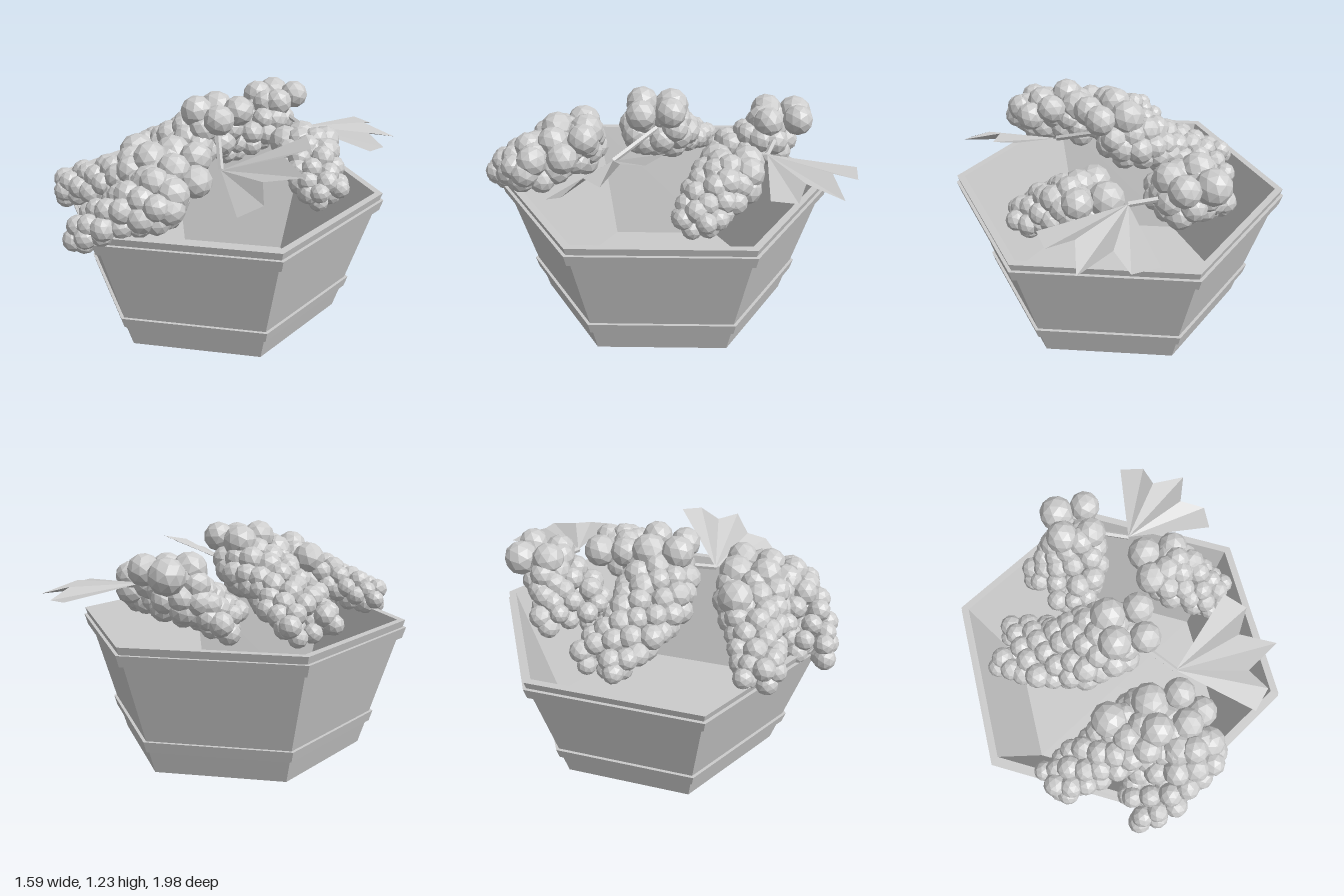
import * as THREE from 'three';

const grey = new THREE.MeshStandardMaterial({ color: 0xcccccc, flatShading: true });
const thin = new THREE.MeshStandardMaterial({ color: 0xcccccc, flatShading: true, side: THREE.DoubleSide });
const grapeGeometry = new THREE.IcosahedronGeometry(1, 1);

let seed = 7;
const rand = () => (seed = (seed * 16807) % 2147483647) / 2147483647;

// Hexagonal tub: [half width across flats, height] turned in six steps
function makeTub() {
  const profile = [
    [0, 0.03], [0.57, 0.03], [0.56, 0], [0.59, 0],
    [0.625, 0.13], [0.64, 0.13], [0.656, 0.19], [0.64, 0.19],
    [0.755, 0.62], [0.777, 0.62], [0.793, 0.68], [0.776, 0.68],
    [0.787, 0.72], [0.75, 0.72], [0.553, 0.05], [0, 0.05],
  ].map(([x, y]) => new THREE.Vector2(x / Math.cos(Math.PI / 6), y));
  const tub = new THREE.Mesh(new THREE.LatheGeometry(profile, 6).toNonIndexed(), grey);
  tub.name = 'tub';
  tub.position.z = 0.01;
  return tub;
}

function addGrape(group, position, radius) {
  const grape = new THREE.Mesh(grapeGeometry, grey);
  grape.name = 'grape';
  grape.position.copy(position);
  grape.scale.setScalar(radius);
  grape.rotation.set(rand() * 6, rand() * 6, rand() * 6);
  group.add(grape);
}

// Bunch: grapes spiral round a drooping path and shrink towards the tail,
// with a ring of large grapes lifted above the head
function makeBunch(name, count, head, middle, tail, headWidth, tailWidth, lift) {
  const group = new THREE.Group();
  group.name = name;
  const { lerp } = THREE.MathUtils;
  const curve = new THREE.CatmullRomCurve3([head, middle, tail]);
  for (let i = 0; i < count; i++) {
    const t = i / (count - 1);
    const tangent = curve.getTangent(t);
    const side = new THREE.Vector3(-tangent.z, 0, tangent.x).normalize();
    const up = side.clone().cross(tangent).normalize();
    const angle = i * 2.4 + rand() * 0.3;
    const spread = (0.88 + 0.2 * rand()) * Math.min(1, 0.55 + 3 * t);
    const p = curve.getPoint(t)
      .addScaledVector(side, Math.cos(angle) * lerp(headWidth, tailWidth, t) * spread)
      .addScaledVector(up, Math.sin(angle) * lerp(0.11, 0.05, t) * spread);
    addGrape(group, p, lerp(0.076, 0.056, t) * (0.92 + 0.16 * rand()));
  }
  for (let i = 0; i < 4; i++) {
    const angle = 0.8 + i * Math.PI / 2;
    const offset = new THREE.Vector3(Math.cos(angle) * 0.11, lift + 0.015 * (i % 2), Math.sin(angle) * 0.11);
    addGrape(group, offset.add(head), 0.082 + 0.006 * (i % 3));
  }
  return group;
}

// Leaf: a pleated fan pointing along +x, longest in the middle
function makeLeaf(name, base, pitch, roll, heading) {
  const lengths = [0.53, 0.37, 0.48, 0.46];
  const angles = [0, 0.26, 0.46, 0.74];
  const folds = [0, 0.035, 0, 0];
  const corners = [];
  for (let i = -3; i < 3; i++) {
    corners.push(0, 0, 0);
    for (const k of [i, i + 1]) {
      const n = Math.abs(k);
      const a = Math.sign(k) * angles[n];
      corners.push(lengths[n] * Math.cos(a), folds[n], lengths[n] * Math.sin(a));
    }
  }
  const geometry = new THREE.BufferGeometry();
  geometry.setAttribute('position', new THREE.Float32BufferAttribute(corners, 3));
  geometry.computeVertexNormals();
  const leaf = new THREE.Mesh(geometry, thin);
  leaf.name = name;
  leaf.position.copy(base);
  leaf.rotation.set(roll, heading, pitch, 'YXZ');
  return leaf;
}

// Stem: a thin twig from a leaf base into the head of a bunch
function makeStem(name, from, to) {
  const stem = new THREE.Mesh(new THREE.TubeGeometry(new THREE.LineCurve3(from, to), 1, 0.015, 5), grey);
  stem.name = name;
  return stem;
}

export function createModel() {
  const model = new THREE.Group();
  model.name = 'grapeTub';
  const V = (x, y, z) => new THREE.Vector3(x, y, z);
  const middleHead = V(0.04, 1.03, 0.05);
  const backHead = V(-0.08, 0.99, -0.63);
  const backLeafBase = V(0.2, 0.95, -0.53);
  const rightLeafBase = V(0.25, 0.93, 0.27);

  model.add(
    makeTub(),
    makeBunch('middleBunch', 66, middleHead, V(-0.27, 0.9, 0.02), V(-0.6, 0.75, -0.14), 0.17, 0.14, 0.1),
    makeBunch('backBunch', 42, backHead, V(-0.14, 0.88, -0.47), V(-0.27, 0.78, -0.35), 0.1, 0.2, 0.06),
    makeBunch('frontBunch', 56, V(0.14, 0.95, 0.5), V(-0.16, 0.87, 0.57), V(-0.5, 0.76, 0.66), 0.17, 0.08, 0.07),
    makeBunch('overhangingBunch', 42, V(0.23, 0.93, 0.6), V(0.1, 0.85, 0.74), V(-0.11, 0.71, 0.89), 0.18, 0.1, 0.02),
    makeBunch('rightBunch', 38, V(0.34, 0.89, -0.34), V(0.47, 0.85, -0.24), V(0.62, 0.75, -0.14), 0.13, 0.09, 0.04),
    makeLeaf('backLeaf', backLeafBase, -0.11, 0, 0.68),
    makeLeaf('rightLeaf', rightLeafBase, 0.21, 0.38, 0.05),
    makeStem('backStem', backLeafBase, backHead),
    makeStem('rightStem', rightLeafBase, middleHead),
  );

  // Loose grapes: the front left knob and the one hanging over the rim
  addGrape(model, V(-0.15, 0.99, 0.46), 0.095);
  addGrape(model, V(-0.11, 0.68, 0.94), 0.06);
  return model;
}
